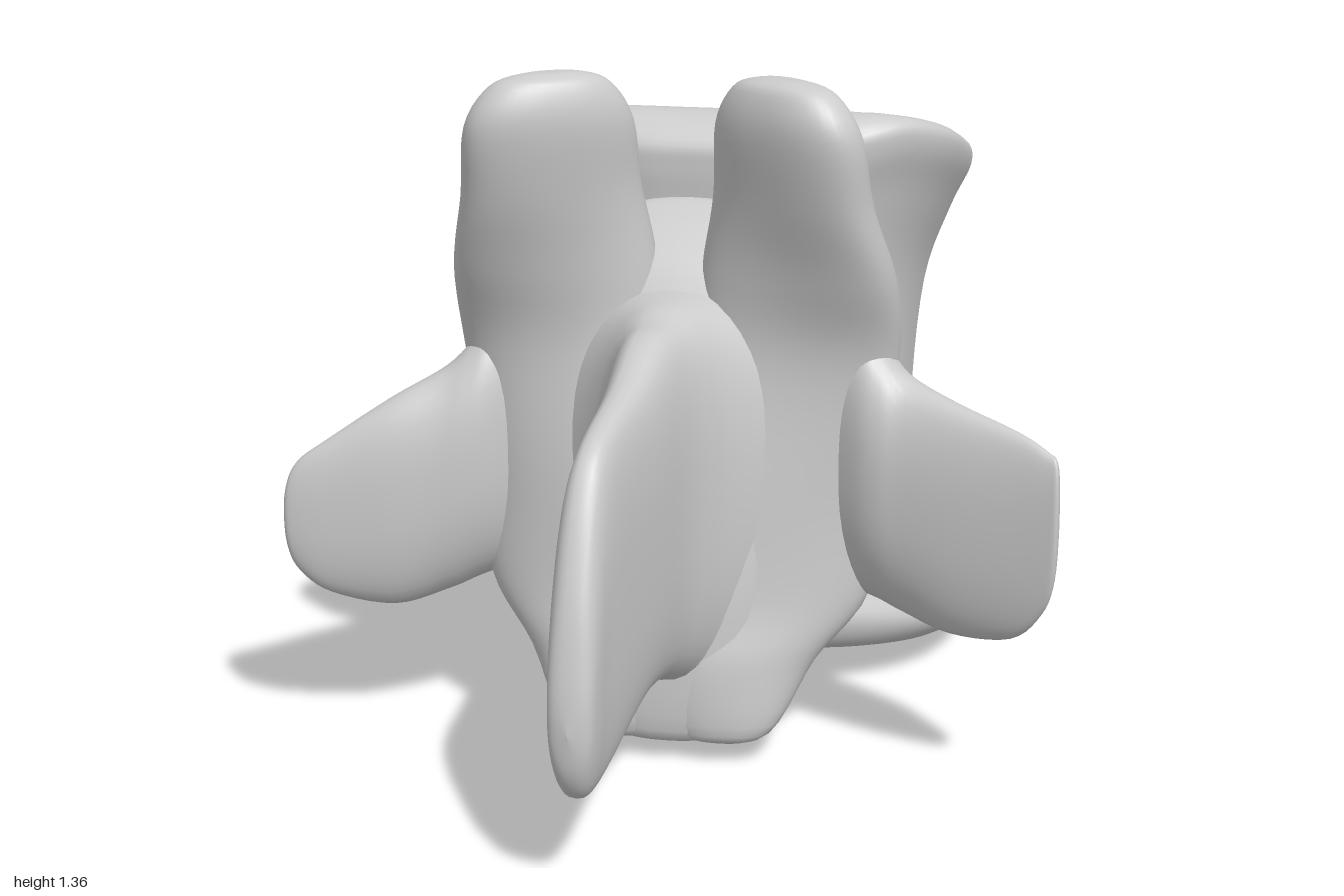
import * as THREE from 'three';

const material = new THREE.MeshStandardMaterial({ color: 0xcccccc, side: THREE.DoubleSide });
const AXES = {
  x: [new THREE.Vector3(0, 0, 1), new THREE.Vector3(0, 1, 0), true],
  y: [new THREE.Vector3(1, 0, 0), new THREE.Vector3(0, 0, 1), true],
  z: [new THREE.Vector3(1, 0, 0), new THREE.Vector3(0, 1, 0), false],
};

// Smooth interpolation between section rows
function sample(rows, t) {
  const i = Math.min(Math.floor(t), rows.length - 2), f = t - i;
  const at = (k) => rows[Math.max(0, Math.min(rows.length - 1, k))];
  return rows[i].map((p1, k) => {
    const p0 = at(i - 1)[k], p2 = at(i + 1)[k], p3 = at(i + 2)[k];
    const m1 = (p2 - p0) / 2, m2 = (p3 - p1) / 2, d = p2 - p1;
    return p1 + f * (m1 + f * (3 * d - 2 * m1 - m2 + f * (m1 + m2 - 2 * d)));
  });
}

// Skin over superellipse sections: [cx, cy, cz, halfU, halfV, twist, exponent]
function loft(axis, input, { bend, mirror = false, seg = 40, steps = 5 } = {}) {
  const rows = input.map((r) => [...r.slice(0, 5), r[5] ?? 0, r[6] ?? 2.3]);
  const [U, V, flipped] = AXES[axis];
  const rings = [];
  for (let k = 0; k <= (rows.length - 1) * steps; k++) rings.push(sample(rows, k / steps));
  const closed = (r) => r.map((v, k) => (k === 3 || k === 4 ? 0 : v));
  rings.unshift(closed(rings[0]));
  rings.push(closed(rings[rings.length - 1]));

  const pos = [], index = [];
  const p = new THREE.Vector3();
  for (const [cx, cy, cz, a, b, twist, n] of rings) {
    for (let j = 0; j < seg; j++) {
      const th = (j / seg) * Math.PI * 2, c = Math.cos(th), s = Math.sin(th);
      const u = Math.max(a, 0) * Math.sign(c) * Math.abs(c) ** (2 / n);
      const v = Math.max(b, 0) * Math.sign(s) * Math.abs(s) ** (2 / n);
      p.set(cx, cy, cz)
        .addScaledVector(U, u * Math.cos(twist) - v * Math.sin(twist))
        .addScaledVector(V, u * Math.sin(twist) + v * Math.cos(twist));
      if (bend) bend(p);
      pos.push(mirror ? -p.x : p.x, p.y, p.z);
    }
  }
  for (let i = 0; i < rings.length - 1; i++) {
    for (let j = 0; j < seg; j++) {
      const a = i * seg + j, b = i * seg + (j + 1) % seg, c = b + seg, d = a + seg;
      if (flipped !== mirror) index.push(a, d, b, b, d, c);
      else index.push(a, b, d, b, c, d);
    }
  }
  const geo = new THREE.BufferGeometry();
  geo.setAttribute('position', new THREE.Float32BufferAttribute(pos, 3));
  geo.setIndex(index);
  geo.computeVertexNormals();
  return geo;
}

// Stretch the unit-high body between its sloping lower and upper plates
function bendBody(p) {
  const bottom = 0.1 + 0.14 * (p.z + 0.05) + 2.8 * Math.max(0, -p.z - 0.72) ** 2;
  const top = 1.24 + 0.25 * (p.z + 0.12) - 5 * Math.max(0, -p.z - 0.85) ** 2
    - 4 * Math.max(0, p.z + 0.18) ** 2;
  p.y = bottom + p.y * (top - bottom);
}

export function createModel() {
  const group = new THREE.Group();
  const add = (name, geo) => {
    const mesh = new THREE.Mesh(geo, material);
    mesh.name = name;
    group.add(mesh);
  };

  // Waisted body with flared rims and dished end plates
  add('vertebralBody', loft('y', [
    [0.02, 0.035, -0.49, 0, 0, 0, 2.4],
    [0.02, 0.02, -0.49, 0.28, 0.25, 0, 2.4],
    [0.02, 0, -0.49, 0.44, 0.4, 0, 2.4],
    [0.03, 0.05, -0.485, 0.5, 0.435, 0, 2.4],
    [0.02, 0.13, -0.46, 0.45, 0.405, 0, 2.4],
    [0.01, 0.25, -0.44, 0.385, 0.39, 0, 2.5],
    [0.01, 0.45, -0.455, 0.37, 0.405, 0, 2.5],
    [0.01, 0.7, -0.475, 0.39, 0.425, 0, 2.6],
    [0.02, 0.85, -0.495, 0.43, 0.445, 0, 2.8],
    [0.02, 0.94, -0.52, 0.468, 0.475, 0, 3.1],
    [0.02, 0.985, -0.52, 0.455, 0.465, 0, 3.2],
    [0.02, 1, -0.52, 0.38, 0.39, 0, 3.2],
    [0.02, 0.985, -0.52, 0.2, 0.2, 0, 3],
    [0.02, 0.98, -0.52, 0, 0, 0, 3],
  ], { bend: bendBody, seg: 64 }));

  // Paired pedicles and articular pillars
  for (const [side, mirror] of [['left', false], ['right', true]]) {
    add(`${side}Pedicle`, loft('z', [
      [0.2, 0.7, -0.24, 0.105, 0.4, 0, 2.6],
      [0.215, 0.71, -0.1, 0.12, 0.425, 0, 2.6],
      [0.245, 0.71, 0.02, 0.13, 0.43, 0, 2.5],
      [0.275, 0.715, 0.12, 0.13, 0.46, 0, 2.4],
      [0.285, 0.71, 0.18, 0.11, 0.43],
      [0.285, 0.7, 0.23, 0.04, 0.2],
    ], { mirror }));

    add(`${side}ArticularPillar`, loft('y', [
      [0.11, 0.04, 0.3, 0, 0],
      [0.11, 0.065, 0.295, 0.1, 0.05, -0.05],
      [0.135, 0.2, 0.245, 0.155, 0.09, -0.25],
      [0.185, 0.33, 0.2, 0.205, 0.095, -0.25],
      [0.2, 0.55, 0.175, 0.205, 0.1, -0.2],
      [0.235, 0.8, 0.155, 0.2, 0.1, 0],
      [0.24, 0.97, 0.185, 0.2, 0.1, 0.3],
      [0.235, 1.12, 0.23, 0.18, 0.09, 0.55],
      [0.23, 1.26, 0.265, 0.168, 0.082, 0.6],
      [0.225, 1.335, 0.275, 0.12, 0.06, 0.6],
      [0.22, 1.357, 0.275, 0.06, 0.03, 0.6],
      [0.22, 1.36, 0.275, 0, 0, 0.6],
    ], { mirror }));
  }

  // Sloping roof of the canal
  add('lamina', loft('y', [
    [0, 0.045, 0.3, 0, 0],
    [0, 0.07, 0.295, 0.13, 0.05],
    [0, 0.3, 0.25, 0.2, 0.09],
    [0, 0.55, 0.21, 0.23, 0.09],
    [0, 0.8, 0.165, 0.24, 0.09],
    [0, 0.95, 0.115, 0.24, 0.075],
    [0, 1.03, 0.07, 0.2, 0.05],
    [0, 1.07, 0.04, 0.1, 0.025],
    [0, 1.08, 0.035, 0, 0],
  ]));

  // Blade-like rear spine, flaring into the lamina
  add('spinousProcess', loft('z', [
    [0, 0.55, 0.18, 0.28, 0.38],
    [0, 0.54, 0.24, 0.225, 0.385],
    [0, 0.535, 0.3, 0.165, 0.385],
    [0, 0.545, 0.36, 0.118, 0.36, 0, 2.6],
    [-0.005, 0.555, 0.45, 0.085, 0.338, 0, 2.8],
    [-0.01, 0.535, 0.6, 0.068, 0.308, 0, 2.8],
    [-0.02, 0.49, 0.8, 0.054, 0.308, 0, 2.8],
    [-0.025, 0.445, 0.88, 0.05, 0.275, 0, 2.8],
    [-0.025, 0.375, 0.95, 0.046, 0.19, 0, 2.6],
    [-0.025, 0.33, 0.987, 0.035, 0.09],
    [-0.025, 0.32, 1, 0, 0],
  ]));

  // Side wings with flared roots, slightly unequal
  add('leftTransverseProcess', loft('x', [
    [0.32, 0.62, 0.1, 0.13, 0.29],
    [0.37, 0.6, 0.13, 0.14, 0.28],
    [0.41, 0.575, 0.165, 0.125, 0.258],
    [0.46, 0.545, 0.205, 0.1, 0.238],
    [0.56, 0.52, 0.27, 0.07, 0.23],
    [0.68, 0.515, 0.335, 0.045, 0.205],
    [0.74, 0.535, 0.37, 0.03, 0.16],
    [0.763, 0.56, 0.385, 0.02, 0.11],
    [0.768, 0.56, 0.387, 0, 0],
  ]));
  add('rightTransverseProcess', loft('x', [
    [0.32, 0.61, 0.1, 0.13, 0.28],
    [0.37, 0.59, 0.13, 0.14, 0.27],
    [0.41, 0.56, 0.165, 0.125, 0.25],
    [0.46, 0.525, 0.205, 0.1, 0.232],
    [0.56, 0.485, 0.26, 0.07, 0.215],
    [0.68, 0.46, 0.305, 0.04, 0.16],
    [0.74, 0.46, 0.32, 0.028, 0.115],
    [0.763, 0.46, 0.325, 0.018, 0.065],
    [0.77, 0.46, 0.325, 0, 0],
  ], { mirror: true }));

  return group;
}
